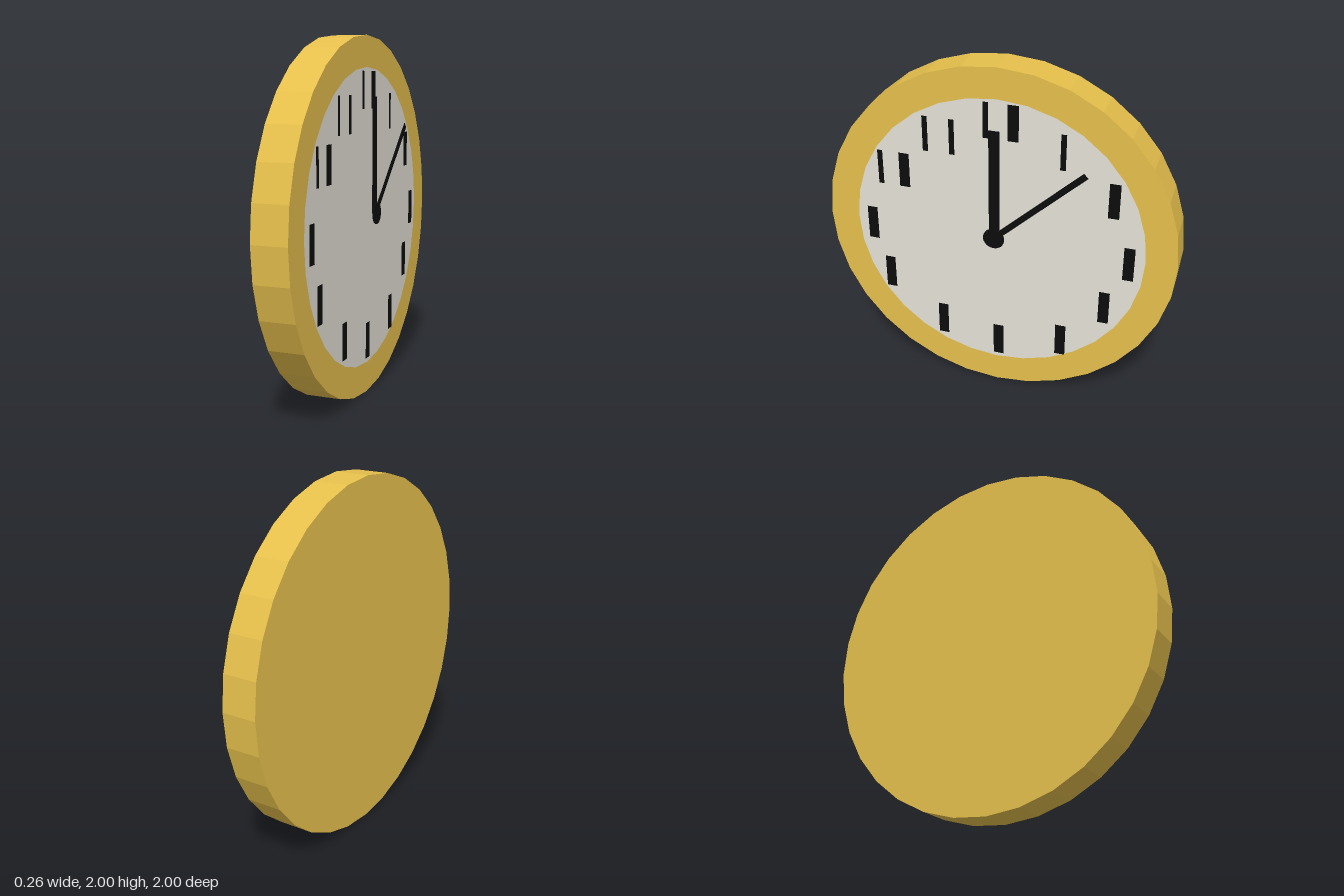
import * as THREE from 'three';

const SIDES = 32;
const CENTER_Y = 1;
const FACE_X = 0.064;

function paint(color, options = {}) {
  const material = new THREE.MeshStandardMaterial(options);
  material.color.set(color);
  return material;
}

export function createModel() {
  const clock = new THREE.Group();
  clock.name = 'wallClock';

  const gold = paint(0xe6c04c, { flatShading: true });
  const cream = paint(0xe4e1d6);
  const black = paint(0x0c0c0c);

  function add(name, geometry, material, x, y, z, parent = clock) {
    const mesh = new THREE.Mesh(geometry, material);
    mesh.name = name;
    mesh.position.set(x, y, z);
    parent.add(mesh);
    return mesh;
  }

  // Faceted round case, its axis along x
  const caseGeometry = new THREE.CylinderGeometry(1, 1, 0.197, SIDES).rotateZ(-Math.PI / 2);
  add('case', caseGeometry, gold, -0.0345, CENTER_Y, 0);

  // Pale dial lying flush on the case
  const dialGeometry = new THREE.CircleGeometry(0.828, SIDES).rotateY(Math.PI / 2);
  add('dial', dialGeometry, cream, FACE_X + 0.001, CENTER_Y, 0);

  // Plain upright hour marks: [z, y, width], with paired strokes at ten to twelve
  const marks = [
    [-0.36, 1.58, 0.03], [-0.64, 1.34, 0.06], [-0.74, 0.97, 0.06],
    [-0.62, 0.66, 0.06], [-0.38, 0.38, 0.06], [-0.01, 0.30, 0.06],
    [0.33, 0.38, 0.06], [0.65, 0.65, 0.06], [0.74, 0.97, 0.06],
    [0.67, 1.34, 0.03], [0.53, 1.34, 0.06],
    [0.40, 1.58, 0.03], [0.25, 1.58, 0.03],
    [0.06, 1.705, 0.03], [-0.09, 1.705, 0.06],
  ];
  const hourMarks = new THREE.Group();
  hourMarks.name = 'hourMarks';
  clock.add(hourMarks);
  for (const [z, y, width] of marks) {
    const geometry = new THREE.PlaneGeometry(width, 0.205).rotateY(Math.PI / 2);
    add('hourMark', geometry, black, FACE_X + 0.003, y, z, hourMarks);
  }

  // Thin hands turning about the hub; angle runs clockwise from twelve
  function addHand(name, length, width, x, angle) {
    const geometry = new THREE.BoxGeometry(0.005, length, width).translate(0, length / 2, 0);
    add(name, geometry, black, x, 1.03, 0).rotation.x = -angle;
  }
  addHand('broadHand', 0.64, 0.06, 0.11, 0);
  addHand('slimHand', 0.675, 0.034, 0.116, 0.82);

  // Round hub cap in front of the hands
  const hubGeometry = new THREE.CylinderGeometry(0.06, 0.06, 0.006, SIDES).rotateZ(-Math.PI / 2);
  add('hub', hubGeometry, black, 0.123, 1.03, 0);

  return clock;
}
